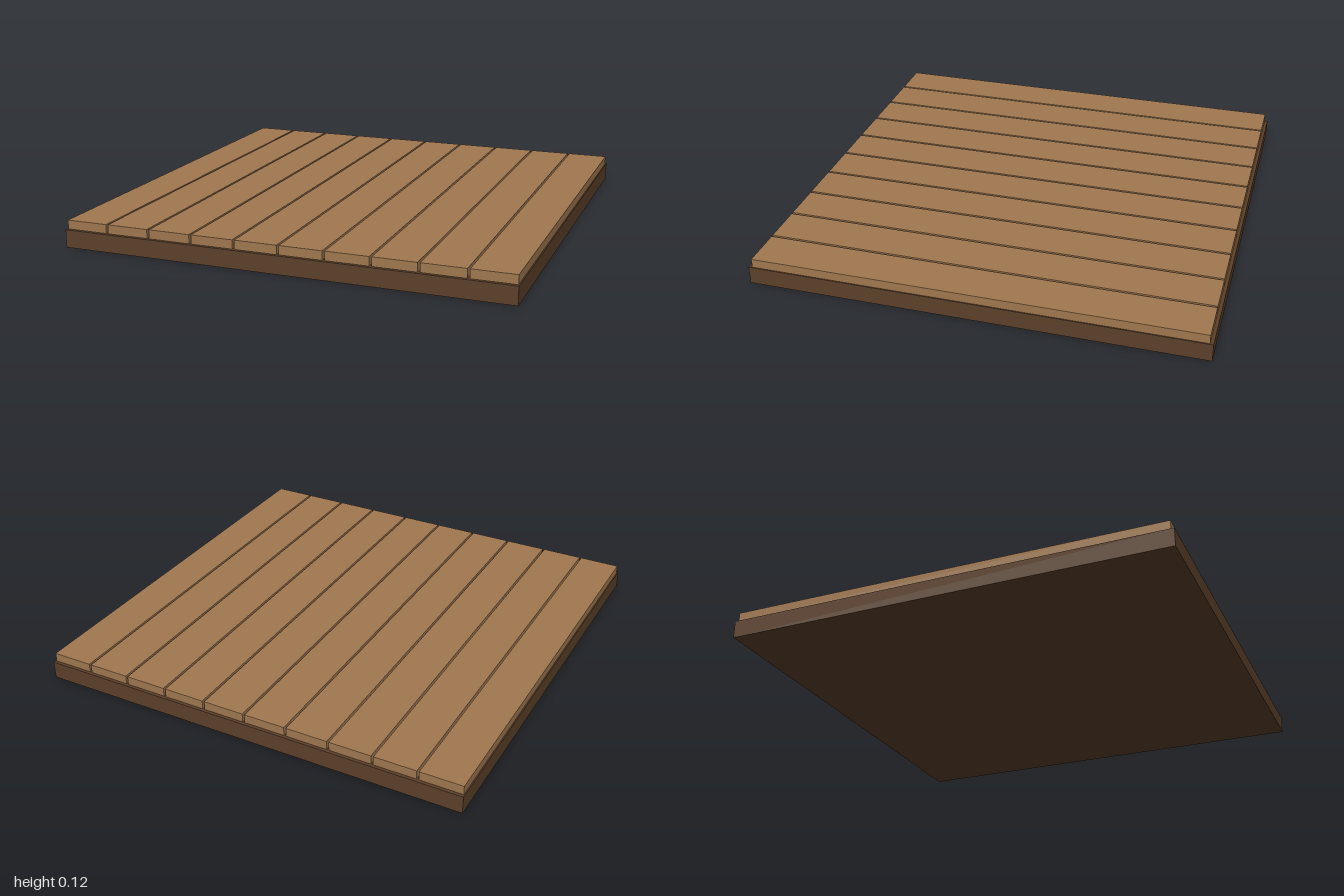
import * as THREE from 'three';

const PLANKS = 10;
const PITCH = 2 / PLANKS;
const BASE_HEIGHT = 0.08;
const PLANK_HEIGHT = 0.04;

export function createModel() {
  const model = new THREE.Group();
  model.name = 'woodenFloor';

  const darkWood = new THREE.MeshStandardMaterial({ color: 0x5c4029 });
  const lightWood = new THREE.MeshStandardMaterial({ color: 0xa07850 });

  // Solid slab under the boards
  const base = new THREE.Mesh(new THREE.BoxGeometry(2, BASE_HEIGHT, 2), darkWood);
  base.name = 'base';
  base.position.y = BASE_HEIGHT / 2;
  model.add(base);

  // Row of boards running front to back, with narrow gaps between them
  const plankGeometry = new THREE.BoxGeometry(PITCH - 0.01, PLANK_HEIGHT, 1.97);
  for (let i = 0; i < PLANKS; i++) {
    const plank = new THREE.Mesh(plankGeometry, lightWood);
    plank.name = `plank${i + 1}`;
    plank.position.set(-1 + (i + 0.5) * PITCH, BASE_HEIGHT + PLANK_HEIGHT / 2, 0);
    model.add(plank);
  }

  return model;
}
